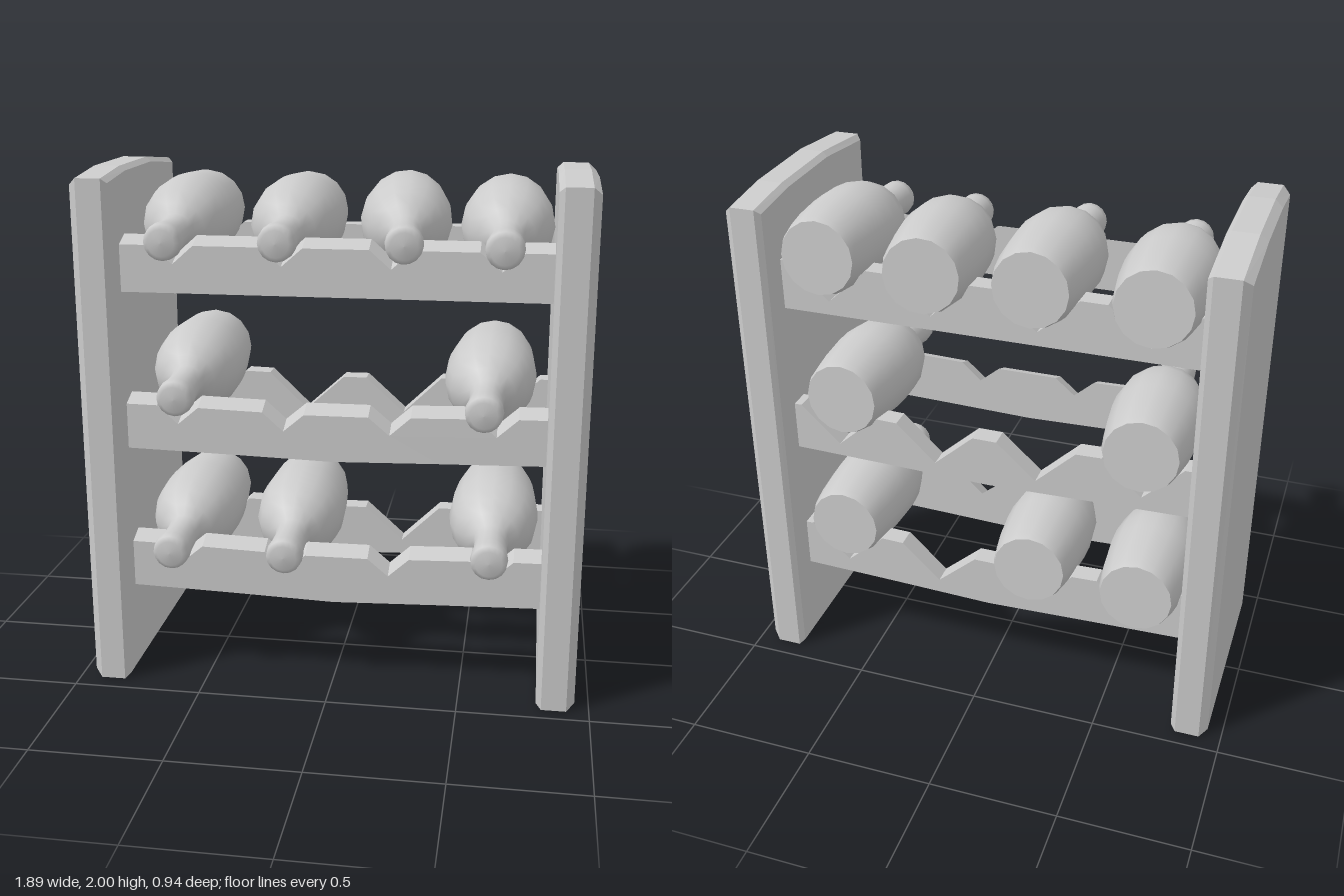
import * as THREE from 'three';

const material = new THREE.MeshStandardMaterial({ color: 0xcccccc, side: THREE.DoubleSide });
const flatMaterial = new THREE.MeshStandardMaterial({ color: 0xcccccc, flatShading: true, side: THREE.DoubleSide });
const SLOTS = [-0.6, -0.19, 0.215, 0.615];

function addMesh(parent, geometry, mat, name) {
  const mesh = new THREE.Mesh(geometry, mat);
  mesh.name = name;
  parent.add(mesh);
  return mesh;
}

// Upright side board: inset copies of one arched outline, lofted along x
function panelGeometry() {
  const outline = [[0.44, 0], [-0.43, 0], [-0.42, 1.97], [-0.2, 1.995], [0.15, 2], [0.47, 1.97]];
  const layers = [[0.8, 0.018], [0.82, 0], [0.915, 0], [0.945, 0.026]];
  const n = outline.length, positions = [], index = [];
  for (const [x, inset] of layers) {
    for (const [z, y] of outline) {
      positions.push(x, y + (y < 1 ? inset : -inset), z * (1 - inset / 0.45));
    }
  }
  for (let l = 0; l < layers.length - 1; l++) {
    for (let i = 0; i < n; i++) {
      const a = l * n + i, b = l * n + (i + 1) % n;
      index.push(a, a + n, b, b, a + n, b + n);
    }
  }
  const last = (layers.length - 1) * n;
  for (let i = 1; i < n - 1; i++) {
    index.push(0, i, i + 1, last, last + i + 1, last + i);
  }
  const geometry = new THREE.BufferGeometry();
  geometry.setAttribute('position', new THREE.Float32BufferAttribute(positions, 3));
  geometry.setIndex(index);
  const flat = geometry.toNonIndexed();
  flat.computeVertexNormals();
  return flat;
}

// Cross rail with V notches; the whole rail sags a little in the middle
function railGeometry({ bottom, top, sag }, notchHalf, notchDepth, zBack, depth, slope) {
  const bend = (x) => -sag * Math.max(0, 1 - Math.abs(x) / 0.75);
  const shape = new THREE.Shape();
  shape.moveTo(-0.81, bottom);
  for (const x of [-0.4, 0, 0.4, 0.81]) shape.lineTo(x, bottom + bend(x));
  shape.lineTo(0.81, top);
  for (const x of [...SLOTS].reverse()) {
    shape.lineTo(x + notchHalf, top + bend(x + notchHalf));
    shape.lineTo(x, top + bend(x) - notchDepth);
    shape.lineTo(x - notchHalf, top + bend(x - notchHalf));
  }
  shape.lineTo(-0.81, top);
  shape.closePath();
  const geometry = new THREE.ExtrudeGeometry(shape, { depth, bevelEnabled: false });
  // Lower the front top edge so the top slopes forward
  const p = geometry.attributes.position;
  for (let i = 0; i < p.count; i++) {
    if (p.getZ(i) > depth / 2 && p.getY(i) > bottom + 0.02) p.setY(i, p.getY(i) - slope);
  }
  geometry.translate(0, 0, zBack);
  geometry.computeVertexNormals();
  return geometry;
}

// Bottle body and neck turned around +y, laid down later
function bottleGeometry() {
  const profile = [
    [0.14, 0], [0.15, 0.03], [0.164, 0.12], [0.175, 0.25], [0.177, 0.33], [0.168, 0.42], [0.145, 0.49],
    [0.105, 0.54], [0.068, 0.57], [0.062, 0.62], [0.065, 0.69], [0.071, 0.74], [0.068, 0.775], [0.05, 0.788], [0, 0.792],
  ].map(([r, y]) => new THREE.Vector2(r, y));
  return new THREE.LatheGeometry(profile, 16);
}

export function createModel() {
  const group = new THREE.Group();

  // Side boards, the second turned half round
  const panel = panelGeometry();
  addMesh(group, panel, flatMaterial, 'leftSidePanel');
  addMesh(group, panel, flatMaterial, 'rightSidePanel').rotation.y = Math.PI;

  // Three tiers, each with a neck rail in front and a body rail behind
  const tiers = [
    { name: 'bottom', bottom: 0.355, top: 0.57, sag: 0.025 },
    { name: 'middle', bottom: 0.928, top: 1.135, sag: 0.02 },
    { name: 'top', bottom: 1.54, top: 1.748, sag: 0 },
  ];
  for (const tier of tiers) {
    addMesh(group, railGeometry(tier, 0.08, 0.07, 0.232, 0.072, 0.03), flatMaterial, tier.name + 'FrontRail');
    addMesh(group, railGeometry({ ...tier, top: tier.top - 0.01 }, 0.155, 0.145, -0.3, 0.08, 0.0),
      flatMaterial, tier.name + 'BackRail');
  }

  // Bottles: base x, base centre y, base z, neck x, neck y
  const bottles = [
    [-0.62, 1.785, -0.385, -0.612, 1.74], [-0.185, 1.785, -0.37, -0.188, 1.748],
    [0.205, 1.795, -0.4, 0.27, 1.745], [0.62, 1.79, -0.36, 0.625, 1.742],
    [-0.605, 1.2, -0.38, -0.585, 1.155], [0.58, 1.2, -0.335, 0.57, 1.155],
    [-0.618, 0.575, -0.385, -0.625, 0.535], [-0.188, 0.595, -0.37, -0.175, 0.548],
    [0.605, 0.615, -0.34, 0.605, 0.585],
  ];
  const bottle = bottleGeometry();
  const baseDisc = new THREE.CircleGeometry(0.14, 16).rotateX(Math.PI / 2);
  const up = new THREE.Vector3(0, 1, 0);
  bottles.forEach(([x, y, z, neckX, neckY], i) => {
    const holder = new THREE.Group();
    holder.name = 'bottle' + (i + 1);
    addMesh(holder, bottle, material, 'bottleGlass');
    addMesh(holder, baseDisc, material, 'bottleBase');
    holder.position.set(x, y, z);
    const axis = new THREE.Vector3(neckX - x, neckY - y, 0.79).normalize();
    holder.quaternion.setFromUnitVectors(up, axis);
    group.add(holder);
  });

  return group;
}
